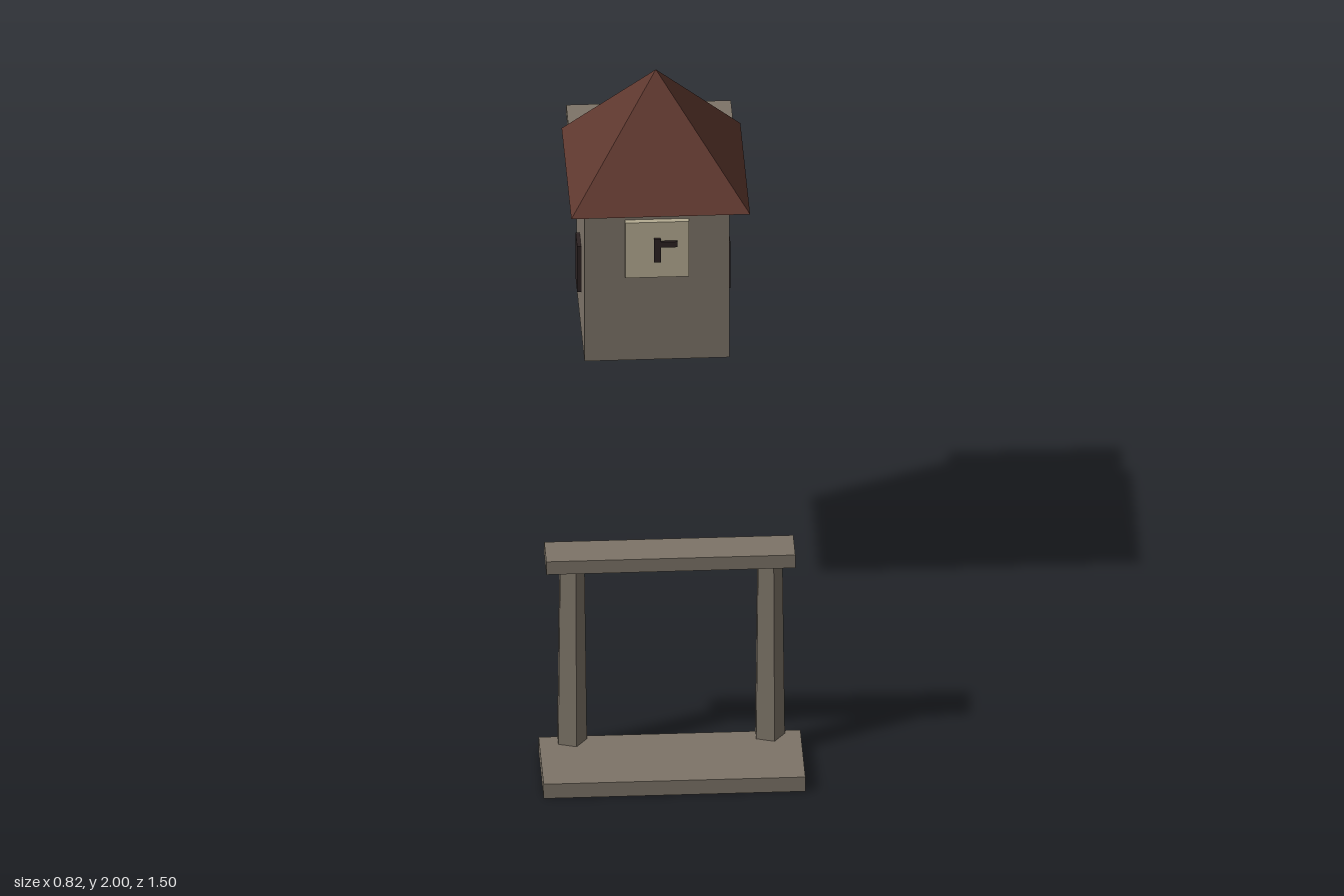
import * as THREE from 'three';

export function createModel() {
  const model = new THREE.Group();
  model.name = 'clockTowerAndGate';

  const material = (name, color) => {
    const m = new THREE.MeshStandardMaterial({ color, flatShading: true });
    m.name = name;
    return m;
  };
  const stone = material('stone', 0x7d7468);
  const roofTile = material('roofTile', 0x5f382f);
  const dial = material('dial', 0xb5ac92);
  const dark = material('darkOpening', 0x2c2222);

  const add = (name, geometry, mat, x, y, z) => {
    const mesh = new THREE.Mesh(geometry, mat);
    mesh.name = name;
    mesh.position.set(x, y, z);
    model.add(mesh);
    return mesh;
  };
  // Box given by its lower and upper corners
  const box = (name, mat, [x0, y0, z0], [x1, y1, z1]) =>
    add(name, new THREE.BoxGeometry(x1 - x0, y1 - y0, z1 - z0), mat,
      (x0 + x1) / 2, (y0 + y1) / 2, (z0 + z1) / 2);

  // Gate: step, two tapered five-sided posts and a lintel
  box('step', stone, [-0.41, 0, 0.46], [0.41, 0.052, 0.75]);
  box('lintel', stone, [-0.39, 0.688, 0.417], [0.39, 0.735, 0.539]);
  for (const [name, x] of [['leftPost', 0.31], ['rightPost', -0.31]]) {
    add(name, new THREE.CylinderGeometry(0.043, 0.051, 0.69, 5, 1, false, Math.PI / 2),
      stone, x, 0.345, 0.478);
  }

  // Tower body and cornice
  const tz = -0.492;
  box('towerBody', stone, [-0.227, 0.984, tz - 0.227], [0.227, 1.595, tz + 0.227]);
  box('cornice', stone, [-0.258, 1.595, tz - 0.258], [0.258, 1.63, tz + 0.258]);

  // Pyramid roof, set forward of the tower
  add('roof', new THREE.ConeGeometry(0.28 * Math.SQRT2, 0.37, 4, 1, false, Math.PI / 4),
    roofTile, 0, 1.815, -0.328);

  // Clock dials with hands, front and back
  for (const [side, s] of [['front', 1], ['back', -1]]) {
    add(side + 'Dial', new THREE.BoxGeometry(0.2, 0.2, 0.02), dial, 0, 1.393, tz + s * 0.236);
    add(side + 'LongHand', new THREE.BoxGeometry(0.021, 0.084, 0.01), dark, 0, 1.394, tz + s * 0.251);
    add(side + 'ShortHand', new THREE.BoxGeometry(0.063, 0.02, 0.008), dark, 0.0315, 1.415, tz + s * 0.25);
  }

  // Side windows
  for (const [side, s] of [['left', 1], ['right', -1]]) {
    add(side + 'Window', new THREE.BoxGeometry(0.02, 0.166, 0.086), dark, s * 0.23, 1.21, tz);
  }

  return model;
}
